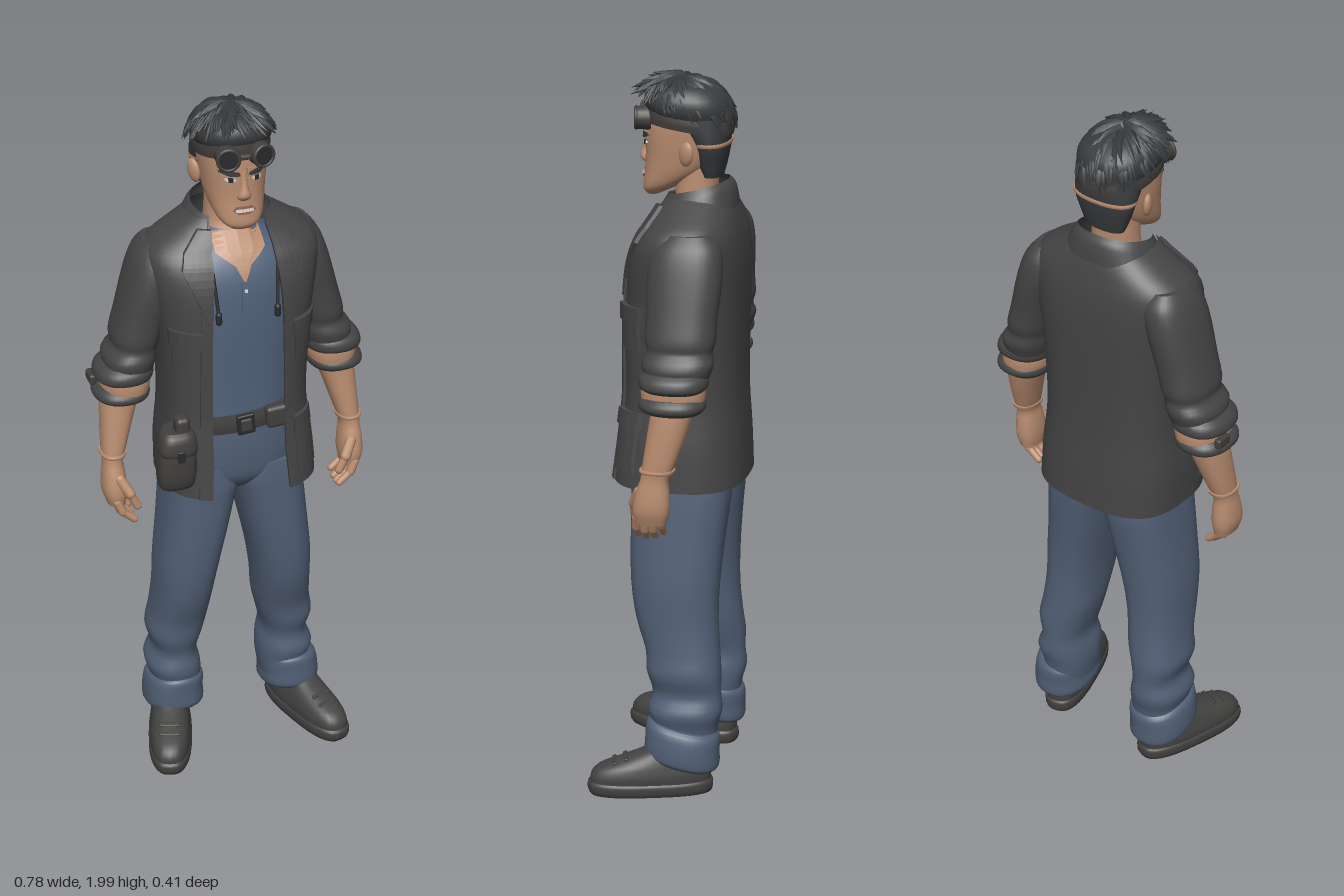
import * as THREE from 'three';
import { RoundedBoxGeometry } from 'three/addons/geometries/RoundedBoxGeometry.js';

const V = (x, y, z) => new THREE.Vector3(x, y, z);
const mat = (name, color, side = THREE.FrontSide) => Object.assign(new THREE.MeshStandardMaterial({ color, side }), { name });

// Cross-sections are [y, x0, x1, z0, z1, squareness, frontGap], listed upwards.
const mirror = rows => rows.map(([y, a, b, ...rest]) => [y, -b, -a, ...rest]);
const spline = (S, f) => new THREE.CatmullRomCurve3(S.map(f), false, 'catmullrom');
const centres = S => spline(S, r => V((r[1] + r[2]) / 2, r[0], (r[3] + r[4]) / 2));
const radii = S => spline(S, r => V((r[2] - r[1]) / 2, r[5] ?? 2.3, (r[4] - r[3]) / 2));

function geometry(pos, idx) {
  const g = new THREE.BufferGeometry();
  g.setAttribute('position', new THREE.Float32BufferAttribute(pos, 3));
  g.setIndex(idx);
  return g;
}

// Smooth skin over stacked superellipse sections, optionally open at the front
function loft(S, { n = 32, tilt = 0 } = {}) {
  const C = centres(S), R = radii(S), G = spline(S, r => V(r[6] ?? 0, 0, 0));
  const open = S.some(r => r[6]), W = open ? n + 1 : n, m = (S.length - 1) * 3;
  const pos = [], idx = [], pw = (v, e) => Math.sign(v) * Math.abs(v) ** e;
  for (let i = 0; i <= m; i++) {
    const c = C.getPoint(i / m), r = R.getPoint(i / m), g = Math.max(0, G.getPoint(i / m).x);
    const a0 = open ? Math.asin(Math.min(1, g / r.x) ** (r.y / 2)) : 0;
    for (let j = 0; j < W; j++) {
      const a = a0 + (2 * Math.PI - 2 * a0) * j / n;
      const dz = r.z * pw(Math.cos(a), 2 / r.y);
      pos.push(c.x + r.x * pw(Math.sin(a), 2 / r.y), c.y + tilt * dz, c.z + dz);
    }
  }
  for (let i = 0; i < m; i++) for (let j = 0; j < n; j++) {
    const a = i * W + j, b = i * W + (j + 1) % W;
    idx.push(a, b, b + W, a, b + W, a + W);
  }
  if (!open) for (const i of [0, m]) {
    const base = pos.length / 3, c = C.getPoint(i / m);
    pos.push(...pos.slice(i * W * 3, (i + 1) * W * 3), c.x, c.y, c.z);
    for (let j = 0; j < n; j++) {
      const a = base + j, b = base + (j + 1) % n;
      idx.push(base + n, i ? a : b, i ? b : a);
    }
  }
  const g = geometry(pos, idx);
  g.computeVertexNormals();
  return g;
}

// Raised patch following the front of a lofted body; rows are [y, x0, x1], listed upwards
function relief(S, rows, off = 0.006) {
  const C = centres(S), R = radii(S), pos = [], idx = [];
  const frontZ = (x, y) => {
    let lo = 0, hi = 1;
    for (let k = 0; k < 24; k++) { const t = (lo + hi) / 2; if (C.getPoint(t).y < y) lo = t; else hi = t; }
    const c = C.getPoint(lo), r = R.getPoint(lo);
    return c.z + r.z * (1 - Math.min(0.985, Math.abs((x - c.x) / r.x)) ** r.y) ** (1 / r.y);
  };
  const cols = [0, 0, 0.25, 0.5, 0.75, 1, 1], m = (rows.length - 1) * 4;
  const levels = [0, ...Array.from({ length: m + 1 }, (_, i) => i), m];
  levels.forEach((l, i) => {
    const k = Math.min(rows.length - 2, Math.floor(l / 4)), f = l / 4 - k;
    const [y, a, b] = rows[k].map((v, q) => v + (rows[k + 1][q] - v) * f);
    cols.forEach((u, j) => {
      const x = a + (b - a) * u, rim = i === 0 || i === levels.length - 1 || j === 0 || j === 6;
      pos.push(x, y, frontZ(x, y) + (rim ? -0.004 : off));
    });
  });
  for (let i = 0; i < levels.length - 1; i++) for (let j = 0; j < 6; j++) {
    const a = i * 7 + j;
    idx.push(a, a + 1, a + 8, a, a + 8, a + 7);
  }
  const g = geometry(pos, idx).toNonIndexed();
  g.computeVertexNormals();
  return g;
}

export function createModel() {
  const root = new THREE.Group();
  root.name = 'standingMan';
  const jacket = mat('jacketCharcoal', 0x454545, THREE.DoubleSide), denim = mat('denimBlue', 0x515f74);
  const shirt = mat('shirtBlue', 0x52627a), skin = mat('skin', 0xb88c6f), hair = mat('hairBlack', 0x393b3d);
  const leather = mat('darkLeather', 0x42403e), boot = mat('bootGrey', 0x434342), lens = mat('lensBlack', 0x282a2c);
  const white = mat('eyeWhite', 0xd8d2ca), lip = mat('lipBrown', 0x8f6251);
  const add = (name, geo, m, parent = root) => {
    const o = new THREE.Mesh(geo, m);
    o.name = name;
    parent.add(o);
    return o;
  };
  const bone = (name, a, b, r, m) => {
    const d = b.clone().sub(a), o = add(name, new THREE.CapsuleGeometry(r, d.length(), 4, 10), m);
    o.position.copy(a).add(b).multiplyScalar(0.5);
    o.quaternion.setFromUnitVectors(V(0, 1, 0), d.normalize());
  };
  const box = (name, w, h, d, x, y, z, m, parent) => {
    const o = add(name, new RoundedBoxGeometry(w, h, d, 3, Math.min(w, h, d) * 0.35), m, parent);
    o.position.set(x, y, z);
    return o;
  };

  // Torso: shirt, hips and a slightly slanted belt
  const shirtS = [[1.04, -.17, .17, -.15, .105], [1.2, -.17, .17, -.15, .105], [1.38, -.18, .18, -.15, .108],
    [1.5, -.185, .185, -.15, .1], [1.57, -.16, .16, -.14, .073], [1.61, -.1, .1, -.12, .04], [1.635, -.07, .07, -.11, .015]];
  add('shirt', loft(shirtS), shirt);
  add('openNeckSkin', relief(shirtS, [[1.515, -.003, .003], [1.555, -.022, .022], [1.59, -.07, .07], [1.633, -.068, .068]], .004), skin);
  add('shirtPlacket', relief(shirtS, [[1.43, -.01, .01], [1.512, -.01, .01]], .004), shirt);
  add('shirtButton', relief(shirtS, [[1.486, -.004, .004], [1.494, -.004, .004]], .007), white);
  add('hips', loft([[.83, -.03, .03, -.08, .02], [.86, -.1, .1, -.13, .065], [.9, -.172, .172, -.16, .096], [.95, -.19, .19, -.166, .105],
    [1.02, -.178, .178, -.158, .107], [1.1, -.165, .165, -.15, .1]]), denim);
  add('belt', loft([[1.068, -.178, .178, -.158, .118], [1.093, -.18, .18, -.16, .121], [1.118, -.178, .178, -.158, .118]])
    .translate(0, -1.093, 0).rotateZ(.09).translate(0, 1.093, 0), leather);
  box('beltBuckle', .05, .06, .014, -.005, 1.092, .122, lens).rotation.z = .09;
  box('buckleCentre', .032, .038, .014, -.005, 1.092, .126, leather).rotation.z = .09;
  box('beltPouch', .065, .065, .035, .085, 1.103, .118, leather).rotation.z = .09;

  // Jacket body, open down the front, sloping up to the neck
  const coat = [[.885, -.212, .225, -.202, .165, 2.8, .115], [1, -.212, .217, -.196, .15, 2.8, .108],
    [1.12, -.202, .202, -.188, .138, 2.8, .105], [1.25, -.205, .205, -.187, .136, 2.8, .105],
    [1.38, -.215, .215, -.189, .131, 2.8, .105], [1.49, -.232, .232, -.188, .118, 2.8, .1],
    [1.56, -.24, .24, -.181, .095, 2.7, .095], [1.6, -.222, .222, -.172, .07, 2.5, .09],
    [1.637, -.168, .168, -.162, .05, 2.3, .085], [1.67, -.115, .115, -.148, .035, 2.3, .08]];
  add('jacketBody', loft(coat, { n: 44 }), jacket);
  add('jacketCollar', loft([[1.615, -.143, .143, -.163, .06, 2.3, .1], [1.648, -.126, .126, -.159, .05, 2.2, .085],
    [1.675, -.112, .112, -.152, .04, 2.2, .075], [1.692, -.1, .1, -.138, .03, 2.2, .07]], { tilt: -.24 }), jacket);
  const front = {
    jacketPlacket: [[[.888, .112, .145], [1, .104, .135], [1.25, .102, .132], [1.45, .099, .128]], .007],
    lapel: [[[1.4, .1, .105], [1.48, .096, .135], [1.56, .088, .168], [1.6, .085, .155], [1.65, .075, .108]], .011],
    chestPocket: [[[1.27, .135, .193], [1.36, .135, .196]], .01],
    chestPocketFlap: [[[1.345, .128, .2], [1.39, .128, .204]], .016],
    lowerPocket: [[[.925, .138, .208], [1.07, .133, .196]], .01],
    lowerPocketFlap: [[[1.05, .13, .199], [1.095, .13, .195]], .016],
  };
  for (const side of [1, -1]) {
    const M = rows => side > 0 ? rows : mirror(rows), P = (x, y, z) => V(x * side, y, z);
    for (const [name, [rows, off]] of Object.entries(front)) add(name, relief(coat, M(rows), off), jacket);
    bone('hangingCord', P(.09, 1.55, .1), P(.082, 1.44, .125), .005, lens);
    bone('cordEnd', P(.082, 1.44, .125), P(.082, 1.42, .126), .009, lens);

    // Sleeve with gathered folds and rolled cuff, skin showing between the rolls
    add('sleeve', loft(M([[1.23, .22, .35, -.145, .025], [1.27, .208, .352, -.158, .034], [1.3, .205, .328, -.152, .024],
      [1.33, .195, .328, -.16, .03], [1.39, .18, .312, -.16, .03], [1.47, .155, .291, -.166, .034], [1.53, .14, .273, -.165, .03],
      [1.57, .14, .255, -.155, .015], [1.598, .16, .232, -.13, -.015]])), jacket);
    add('rolledCuffUpper', loft(M([[1.204, .23, .37, -.135, .022], [1.216, .22, .381, -.147, .036], [1.238, .218, .376, -.147, .036], [1.252, .225, .36, -.135, .022]])), jacket);
    add('rolledCuffLower', loft(M([[1.146, .24, .372, -.13, .018], [1.158, .231, .385, -.142, .034], [1.174, .23, .384, -.142, .034], [1.187, .24, .372, -.13, .02]])), jacket);
    add('cuffSkinGap', loft(M([[1.17, .233, .365, -.138, .03], [1.195, .228, .366, -.14, .032], [1.22, .228, .364, -.138, .03]])), skin);

    // Forearm and hand
    add('forearm', loft(M([[.84, .318, .368, -.045, .04], [.88, .312, .38, -.055, .046], [.93, .314, .378, -.054, .036], [.965, .318, .374, -.052, .024],
      [1, .308, .374, -.066, .02], [1.08, .282, .37, -.094, .01], [1.15, .258, .364, -.112, .002], [1.22, .24, .35, -.12, 0]]), { n: 24 }), skin);
    add('wristBand', loft(M([[.984, .309, .378, -.066, .026], [.989, .307, .38, -.068, .028], [.994, .306, .379, -.069, .026]]), { n: 24 }), skin);
    for (let f = 0; f < 4; f++) {
      const z = -.034 + f * .023, drop = [.015, .003, 0, .006][f];
      bone('fingerBase', P(.348, .855, z), P(.335, .818 + drop, z + .004), .0125, skin);
      bone('fingerTip', P(.335, .818 + drop, z + .004), P(.302, .79 + drop, z + .006), .0105, skin);
    }
    bone('thumbBase', P(.338, .925, .03), P(.315, .885, .05), .015, skin);
    bone('thumbTip', P(.315, .885, .05), P(.296, .845, .052), .012, skin);

    // Jeans leg with folds and turned-up cuff; the left foot stands a little wider
    const wide = side > 0 ? .013 : 0;
    add('trouserLeg', loft(M([[.13, .1, .235, -.145, .04], [.19, .092, .238, -.15, .036], [.24, .094, .25, -.162, .046], [.29, .104, .23, -.158, .034],
      [.35, .09, .246, -.158, .05], [.41, .076, .237, -.152, .056], [.5, .066, .229, -.145, .085], [.6, .05, .225, -.146, .1, 2.4],
      [.72, .024, .212, -.155, .105, 2.5], [.83, .002, .2, -.166, .105, 2.7], [.88, -.006, .194, -.166, .105, 2.8], [.94, .0, .188, -.16, .1, 2.6]])), denim);
    add('trouserCuff', loft(M([[.085, .1, .245, -.145, .04], [.1, .086, .257, -.157, .052], [.14, .087, .257, -.157, .05],
      [.18, .086, .25, -.157, .048], [.195, .1, .236, -.145, .036]]), { tilt: .2 }), denim).position.x = wide;

    // Low boot turned outwards
    const foot = new THREE.Group();
    foot.name = 'boot';
    foot.position.set(.205 * side + wide, 0, .03);
    foot.rotation.y = side * .3;
    root.add(foot);
    add('bootSole', loft([[0, -.058, .058, -.17, .17, 2.7], [.012, -.063, .063, -.175, .177, 2.7], [.03, -.063, .063, -.175, .177, 2.7], [.038, -.058, .058, -.17, .17, 2.7]]), leather, foot);
    add('bootUpper', loft([[.03, -.058, .058, -.168, .17, 2.7], [.055, -.06, .06, -.17, .168, 2.6], [.078, -.056, .056, -.168, .148, 2.5],
      [.095, -.052, .052, -.164, .105], [.11, -.048, .048, -.16, .06], [.125, -.045, .045, -.155, .02], [.14, -.04, .04, -.14, -.01]]), boot, foot);
    for (let k = 0; k < 2; k++) box('bootLace', .06, .008, .012, 0, .093 + k * .011, .1 - k * .03, leather, foot).rotation.x = .35;
  }

  // Hip pouch and cuff strap on the right side
  const squarish = S => S.map(r => [...r, 3]);
  add('hipPouch', loft(squarish([[.92, -.235, -.165, .07, .125], [.935, -.25, -.152, .07, .145], [.98, -.255, -.147, .07, .155],
    [1.05, -.25, -.148, .07, .153], [1.09, -.24, -.155, .07, .14]])), leather);
  add('hipPouchFlap', loft(squarish([[1.04, -.25, -.146, .07, .158], [1.055, -.253, -.144, .07, .162], [1.09, -.246, -.15, .07, .156], [1.105, -.235, -.16, .07, .14]])), leather);
  box('hipPouchClasp', .02, .035, .012, -.2, 1.045, .16, lens);
  box('hipPouchLoop', .04, .06, .05, -.185, 1.115, .112, leather);
  box('cuffStrap', .02, .03, .05, -.38, 1.195, -.085, leather);

  // Neck and head
  add('neck', loft([[1.56, -.085, .085, -.11, .045], [1.61, -.077, .077, -.11, .03], [1.66, -.065, .065, -.108, .007], [1.76, -.062, .062, -.11, .01]]), skin);
  const headS = [[1.664, -.028, .028, .05, .086], [1.678, -.05, .05, .02, .095], [1.7, -.065, .065, -.025, .094], [1.735, -.076, .076, -.085, .09],
    [1.775, -.083, .083, -.12, .088], [1.82, -.088, .088, -.13, .088], [1.87, -.089, .089, -.134, .084], [1.92, -.078, .078, -.12, .066], [1.95, -.05, .05, -.08, .035]];
  add('head', loft(headS), skin);
  add('nose', loft([[1.747, -.012, .012, .06, .092], [1.755, -.02, .02, .06, .101], [1.766, -.018, .018, .06, .106],
    [1.785, -.012, .012, .06, .1], [1.81, -.01, .01, .06, .093], [1.83, -.012, .012, .06, .089]], { n: 16 }), skin);
  add('lips', relief(headS, [[1.71, -.016, .016], [1.72, -.032, .032], [1.731, -.02, .02]], .004), lip);
  add('teeth', relief(headS, [[1.717, -.024, .024], [1.725, -.024, .024]], .006), white);
  for (const side of [1, -1]) {
    const M = rows => side > 0 ? rows : mirror(rows);
    add('browRidge', relief(headS, M([[1.818, .01, .06], [1.838, .008, .066]]), .005), skin);
    add('eyebrow', relief(headS, M([[1.82, .012, .04], [1.829, .014, .064], [1.836, .04, .062]]), .008), hair);
    add('eye', relief(headS, M([[1.802, .027, .043], [1.807, .021, .05], [1.812, .026, .046]]), .003), white);
    add('iris', relief(headS, M([[1.801, .03, .041], [1.813, .03, .042]]), .005), lens);
    const ear = add('ear', new THREE.SphereGeometry(1, 14, 10), skin);
    ear.scale.set(.012, .034, .022);
    ear.position.set(side * .096, 1.79, -.042);
    ear.rotation.set(-.2, side * -.4, side * -.15);

    // Goggles pushed up on the forehead
    const cup = add('goggleCup', new THREE.CylinderGeometry(.03, .034, .04, 20), leather);
    cup.position.set(side * .044, 1.874, .085);
    cup.rotation.set(Math.PI / 2, 0, side * -.2);
    const rim = add('goggleRim', new THREE.TorusGeometry(.028, .005, 8, 20), leather);
    rim.position.set(side * .048, 1.874, .105);
    rim.rotation.y = side * .2;
    const glass = add('goggleLens', new THREE.CircleGeometry(.026, 20), lens);
    glass.position.set(side * .048, 1.874, .1075);
    glass.rotation.y = side * .2;
  }
  box('goggleBridge', .03, .014, .02, 0, 1.874, .094, leather);
  add('goggleStrap', loft([[1.85, -.098, .098, -.148, .09], [1.868, -.1, .1, -.15, .092], [1.886, -.098, .098, -.148, .09]], { tilt: .15 }), leather);

  // Hair: cropped back, bare line above it, cap, and spiky locks swept outwards from the crown
  add('croppedBackHair', loft([[1.72, -.06, .06, -.122, -.07], [1.76, -.076, .076, -.132, -.055], [1.81, -.092, .092, -.14, -.045], [1.88, -.095, .095, -.143, .02]]), hair);
  add('scalpLine', loft([[1.806, -.093, .093, -.143, -.045], [1.811, -.0945, .0945, -.1445, -.044], [1.816, -.094, .094, -.144, -.043]]), skin);
  add('hairCap', loft([[1.875, -.096, .096, -.142, .06], [1.9, -.105, .105, -.145, .085], [1.93, -.102, .102, -.135, .09], [1.958, -.078, .078, -.102, .07], [1.974, -.035, .035, -.06, .03]]), hair);
  let seed = 7;
  const rnd = () => (seed = (seed * 16807) % 2147483647) / 2147483647;
  for (let k = 0; k < 150; k++) {
    const th = k * 2.39996, back = (1 - Math.cos(th)) / 2;
    const end = (1.02 + .8 * back) * (.4 + .6 * Math.sqrt((k % 30 + 1) / 30)), swirl = .1 + rnd() * .3, lift = 1.06 + rnd() * (.2 - .1 * back);
    const at = (phi, t, r) => V(-.005 + .107 * r * Math.sin(phi) * Math.sin(t), 1.868 + .11 * r * Math.cos(phi), -.008 + .132 * r * Math.sin(phi) * Math.cos(t));
    const path = new THREE.CatmullRomCurve3([at(Math.max(0, end - .75), th - swirl, .95), at(end - .35, th - swirl * .4, 1.06), at(end, th, lift)]);
    const geo = new THREE.TubeGeometry(path, 6, .012 + rnd() * .005, 6), p = geo.attributes.position;
    for (let i = 0; i < p.count; i++) {
      const t = Math.floor(i / 7) / 6, c = path.getPointAt(t);
      const v = V(0, 0, 0).fromBufferAttribute(p, i).lerp(c, t ** 1.6 * .97);
      p.setXYZ(i, v.x, Math.min(v.y, 2), v.z);
    }
    geo.computeVertexNormals();
    add('hairLock', geo, hair);
  }
  return root;
}
